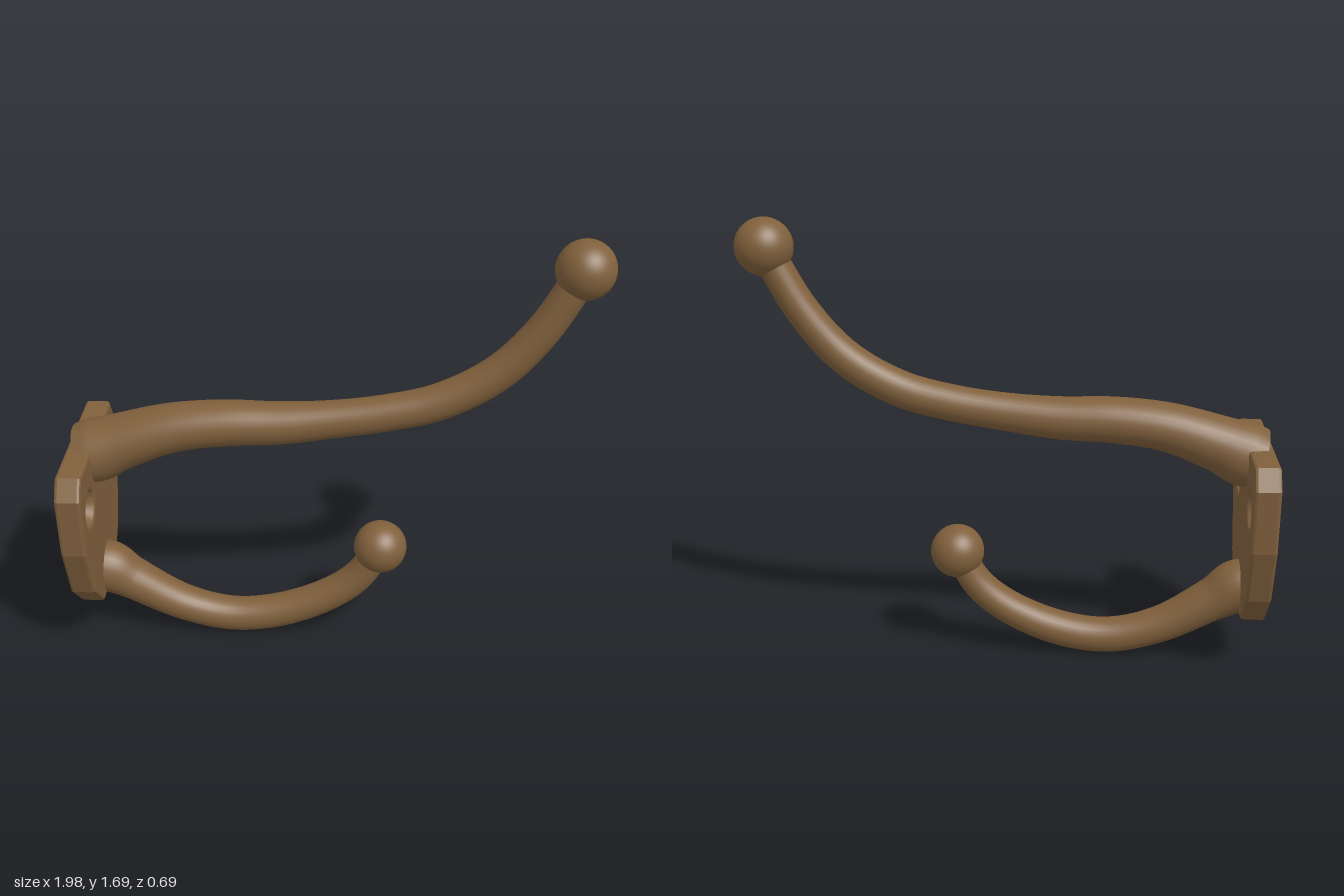
import * as THREE from 'three';

const bronze = new THREE.MeshStandardMaterial({ color: 0x80603c });
bronze.name = 'bronze';

function mesh(name, geometry, parent) {
  const m = new THREE.Mesh(geometry, bronze);
  m.name = name;
  parent.add(m);
  return m;
}

// Tapered elliptical sweep through stations [x, y, half height, half width]
function sweep(stations, steps = 64, sides = 28) {
  const path = new THREE.CatmullRomCurve3(stations.map(([x, y]) => new THREE.Vector3(x, y, 0)));
  const size = new THREE.CatmullRomCurve3(stations.map(([, , h, w], i) => new THREE.Vector3(h, w, i * 0.2)));
  const pos = [], index = [];
  const ring = (t) => {
    const c = path.getPoint(t), d = path.getTangent(t), s = size.getPoint(t);
    for (let j = 0; j < sides; j++) {
      const a = (j / sides) * Math.PI * 2, h = Math.cos(a) * s.x;
      pos.push(c.x - d.y * h, c.y + d.x * h, Math.sin(a) * s.y);
    }
  };
  for (let i = 0; i <= steps; i++) ring(i / steps);
  for (let i = 0; i < steps; i++) {
    for (let j = 0; j < sides; j++) {
      const k = (j + 1) % sides, a = i * sides, b = a + sides;
      index.push(a + j, a + k, b + j, a + k, b + k, b + j);
    }
  }
  // Flat cap at the wall end
  const cap = pos.length / 3;
  ring(0);
  for (let j = 1; j < sides - 1; j++) index.push(cap, cap + j + 1, cap + j);
  const g = new THREE.BufferGeometry();
  g.setAttribute('position', new THREE.Float32BufferAttribute(pos, 3));
  g.setIndex(index);
  g.computeVertexNormals();
  return g;
}

function hook(name, stations, ballRadius) {
  const g = new THREE.Group();
  g.name = name;
  mesh(name + 'Arm', sweep(stations), g);
  const [x, y] = stations[stations.length - 1];
  mesh(name + 'Ball', new THREE.SphereGeometry(ballRadius, 40, 28), g).position.set(x, y, 0);
  return g;
}

function wallPlate() {
  const g = new THREE.Group();
  g.name = 'wallPlate';
  const back = -0.988, front = -0.892, bevel = 0.012;
  const half = [[0.29, 0.862], [0.333, 0.795], [0.318, 0.56], [0.24, 0.345], [0.11, 0.215]];
  const outline = [...half, ...half.map(([z, y]) => [-z, y]).reverse()];
  const shape = new THREE.Shape(outline.map(([z, y]) => new THREE.Vector2(z, y)));
  for (const s of [-1, 1]) {
    const hole = new THREE.Path();
    hole.absarc(s * 0.193, 0.68, 0.075 + bevel, 0, Math.PI * 2, true);
    shape.holes.push(hole);
  }
  const body = new THREE.ExtrudeGeometry(shape, {
    depth: front - back - 2 * bevel, bevelEnabled: true, bevelThickness: bevel,
    bevelSize: bevel, bevelSegments: 2, curveSegments: 32,
  });
  body.translate(0, 0, bevel);
  body.rotateY(Math.PI / 2);
  mesh('plateBody', body, g).position.x = back;

  // Countersunk screw holes
  const t = front - back;
  const sections = [
    [[0.088, 0], [0.052, 0]],
    [[0.052, 0], [0.052, t * 0.55]],
    [[0.052, t * 0.55], [0.074, t - 0.004]],
    [[0.074, t - 0.004], [0.088, t]],
  ];
  for (const s of [-1, 1]) {
    const hole = new THREE.Group();
    hole.name = s > 0 ? 'frontScrewHole' : 'rearScrewHole';
    for (const part of sections) {
      const points = part.map(([r, h]) => new THREE.Vector2(r, h)).reverse();
      const lathe = new THREE.LatheGeometry(points, 40);
      lathe.rotateZ(-Math.PI / 2);
      mesh('screwHoleWall', lathe, hole);
    }
    hole.position.set(back, 0.68, s * 0.193);
    g.add(hole);
  }
  return g;
}

export function createModel() {
  const model = new THREE.Group();
  model.name = 'coatHook';
  model.add(wallPlate());
  // Long upper hook with an S curve
  model.add(hook('upperHook', [
    [-0.945, 0.81, 0.115, 0.128],
    [-0.885, 0.828, 0.122, 0.126],
    [-0.8, 0.862, 0.107, 0.115],
    [-0.6, 0.926, 0.092, 0.103],
    [-0.4, 0.95, 0.087, 0.093],
    [-0.2, 0.954, 0.081, 0.083],
    [0, 0.974, 0.072, 0.072],
    [0.2, 1.005, 0.069, 0.07],
    [0.4, 1.058, 0.069, 0.07],
    [0.6, 1.175, 0.067, 0.07],
    [0.75, 1.345, 0.063, 0.069],
    [0.885, 1.585, 0.06, 0.066],
  ], 0.108));
  // Short lower hook
  model.add(hook('lowerHook', [
    [-0.945, 0.295, 0.105, 0.105],
    [-0.885, 0.285, 0.105, 0.1],
    [-0.8, 0.235, 0.083, 0.087],
    [-0.6, 0.122, 0.07, 0.075],
    [-0.4, 0.071, 0.068, 0.07],
    [-0.2, 0.096, 0.067, 0.07],
    [0, 0.184, 0.063, 0.07],
    [0.11, 0.276, 0.06, 0.068],
    [0.19, 0.41, 0.056, 0.065],
  ], 0.103));
  return model;
}
